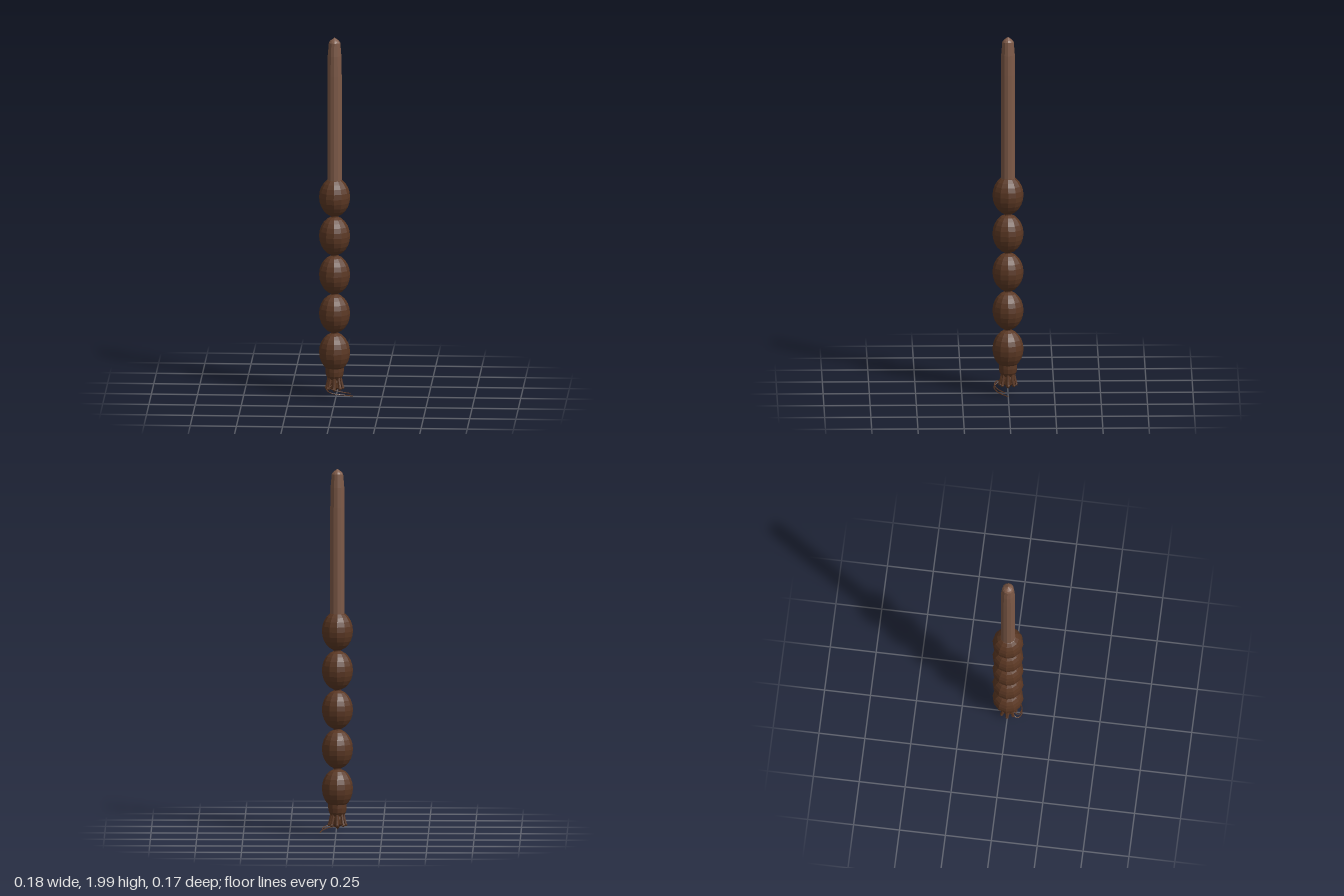
import * as THREE from 'three';

export function createModel() {
  const model = new THREE.Group();
  const body = new THREE.Group();
  body.name = 'wand';
  body.position.x = -0.008;
  model.add(body);

  const makeMaterial = (name, color) => {
    const m = new THREE.MeshStandardMaterial({ color, flatShading: true });
    m.name = name;
    return m;
  };
  const darkWood = makeMaterial('darkWood', 0x5a3723);
  const lightWood = makeMaterial('lightWood', 0x7d5947);

  const add = (name, geometry, material) => {
    const mesh = new THREE.Mesh(geometry, material);
    mesh.name = name;
    body.add(mesh);
    return mesh;
  };
  const lathe = (pairs, sides = 12) =>
    new THREE.LatheGeometry(pairs.map(([r, y]) => new THREE.Vector2(r, y)), sides);

  // Straight shaft with a tapered, pointed tip
  add('shaft', lathe([
    [0, 1.19], [0.039, 1.19], [0.039, 1.79], [0.037, 1.9],
    [0.031, 1.972], [0.024, 1.982], [0, 2],
  ]), lightWood);

  // Stacked oval grip beads
  for (let i = 0; i < 5; i++) {
    const bead = add('gripBead', new THREE.SphereGeometry(0.084, 12, 12), darkWood);
    bead.scale.y = 0.108 / 0.084;
    bead.position.y = 0.255 + i * 0.215;
  }

  // Thin core joining the beads
  const core = add('gripCore', new THREE.CylinderGeometry(0.02, 0.02, 1, 12), darkWood);
  core.position.y = 0.7;

  // Collar and small pommel ending in a point
  add('collar', lathe([
    [0, 0.1], [0.034, 0.105], [0.046, 0.125], [0.05, 0.15], [0.05, 0.175], [0, 0.19],
  ]), darkWood);
  add('pommel', lathe([
    [0, 0.03], [0.012, 0.045], [0.03, 0.06], [0.034, 0.09], [0.03, 0.115], [0, 0.12],
  ]), darkWood);

  // Ring of flared root stubs round the pommel
  for (let i = 0; i < 8; i++) {
    const a = (i / 8) * Math.PI * 2;
    const path = new THREE.CatmullRomCurve3([[0.03, 0.125], [0.036, 0.09], [0.044, 0.058]].map(
      ([r, y]) => new THREE.Vector3(r * Math.sin(a), y, r * Math.cos(a))));
    add('rootStub', new THREE.TubeGeometry(path, 3, 0.009, 6), darkWood);
    const end = add('rootStubEnd', new THREE.SphereGeometry(0.01, 6, 4), darkWood);
    end.position.copy(path.getPoint(1));
  }

  // Two fine rootlets sweeping round the front to the left
  const rootlets = [
    [[-0.03, 0.07, 0.03], [-0.04, 0.055, 0.055], [-0.01, 0.042, 0.076],
      [0.045, 0.032, 0.066], [0.08, 0.022, 0.036], [0.097, 0.012, 0]],
    [[-0.015, 0.075, 0.035], [-0.025, 0.068, 0.06], [0.01, 0.058, 0.074],
      [0.05, 0.046, 0.062], [0.076, 0.036, 0.036], [0.084, 0.03, 0.018]],
  ];
  for (const points of rootlets) {
    const path = new THREE.CatmullRomCurve3(points.map((p) => new THREE.Vector3(...p)));
    add('rootlet', new THREE.TubeGeometry(path, 16, 0.003, 5), darkWood);
  }

  return model;
}
